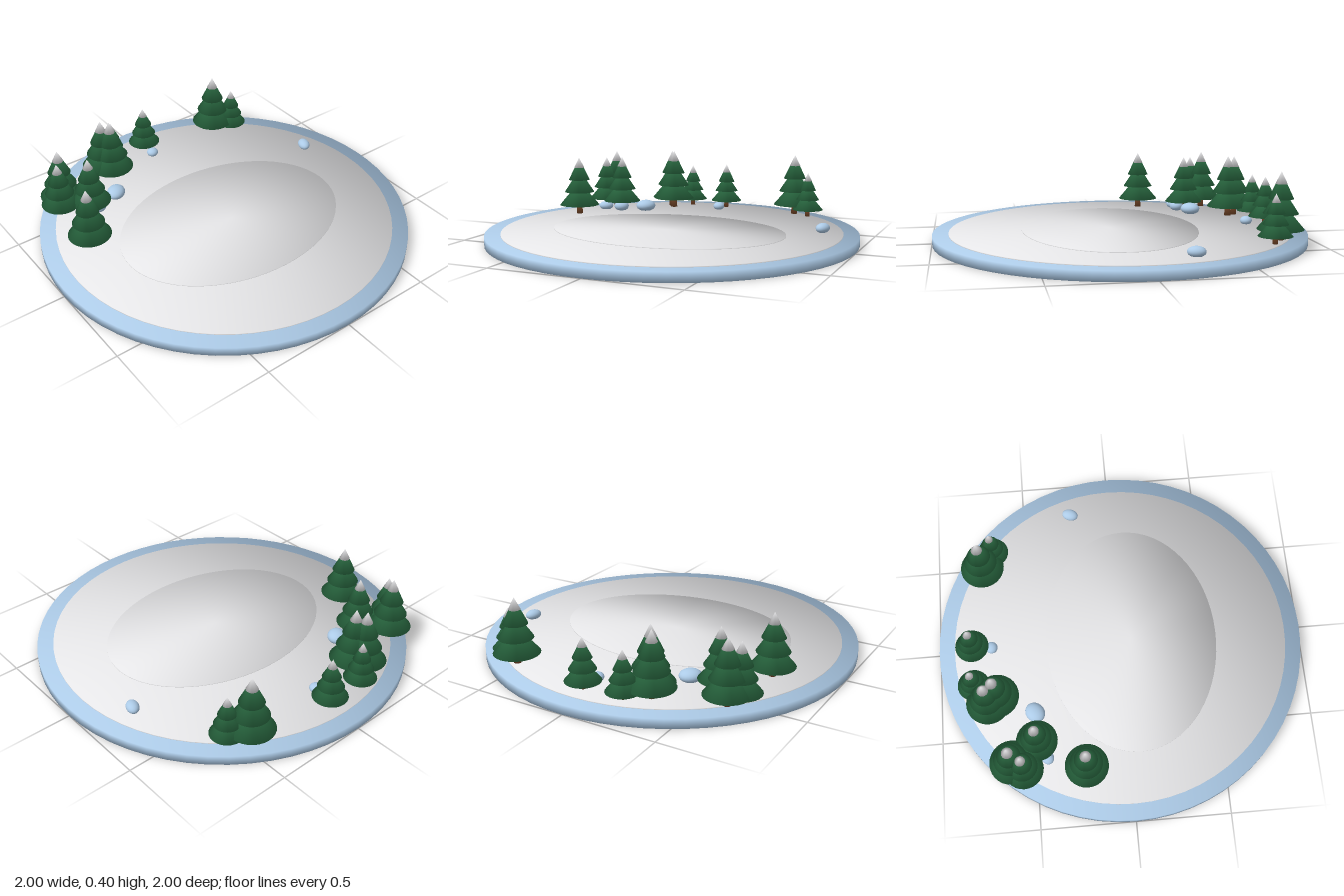
import * as THREE from 'three';

const mat = (name, color) => Object.assign(new THREE.MeshStandardMaterial({ color }), { name });

// Averages the normals of coincident corners, so hard rims shade softly
function soften(geo) {
  const p = geo.attributes.position, n = geo.attributes.normal, sums = new Map();
  const key = i => [p.getX(i), p.getY(i), p.getZ(i)].map(v => Math.round(v * 1e5)).join();
  const v = new THREE.Vector3();
  for (let i = 0; i < p.count; i++) {
    const k = key(i);
    if (!sums.has(k)) sums.set(k, new THREE.Vector3());
    sums.get(k).add(v.fromBufferAttribute(n, i));
  }
  for (let i = 0; i < p.count; i++) {
    v.copy(sums.get(key(i))).normalize();
    n.setXYZ(i, v.x, v.y, v.z);
  }
  return geo;
}

export function createModel() {
  const model = new THREE.Group();
  model.name = 'snowyGrove';
  const snow = mat('snow', 0xf6f6f8);
  const ice = mat('ice', 0xb8d8f6);
  const green = mat('pine green', 0x2f7549);
  const bark = mat('bark', 0x7a4a2a);

  const add = (parent, name, geo, material, x = 0, y = 0, z = 0) => {
    const mesh = new THREE.Mesh(geo, material);
    mesh.name = name;
    mesh.position.set(x, y, z);
    parent.add(mesh);
    return mesh;
  };
  const disc = (name, r, y0, y1, material, z = 0) =>
    add(model, name, soften(new THREE.CylinderGeometry(r, r, y1 - y0, 64)), material, 0, (y0 + y1) / 2, z);

  // Round base with two thin layers of snow
  disc('base', 1, 0, 0.05, ice);
  disc('snowField', 0.915, 0.045, 0.055, snow);
  disc('snowMound', 0.645, 0.05, 0.059, snow, 0.06).scale.z = 0.73;

  // Pine parts, sized for a tree one unit tall
  const trunkGeo = soften(new THREE.CylinderGeometry(0.042, 0.055, 0.24, 12));
  const cone = (r, h) => soften(new THREE.ConeGeometry(r, h, 28));
  const tiers = [
    { y: 0.165, r: 0.345, h: 0.41 },
    { y: 0.395, r: 0.258, h: 0.395 },
    { y: 0.61, r: 0.183, h: 0.385 },
  ].map(t => ({ ...t, needles: cone(t.r, t.h), cap: cone(t.r * 0.475, t.h * 0.46) }));

  function pine(x, z, height) {
    const tree = new THREE.Group();
    tree.name = 'pineTree';
    tree.position.set(x, 0.052, z);
    tree.scale.setScalar(height);
    add(tree, 'trunk', trunkGeo, bark, 0, 0.12);
    for (const t of tiers) {
      add(tree, 'branchTier', t.needles, green, 0, t.y + t.h / 2);
      // Snow on the tip of the tier, just proud of the needles
      add(tree, 'snowCap', t.cap, snow, 0, t.y + t.h * 0.775 + 0.005);
    }
    model.add(tree);
  }
  [
    [-0.705, -0.235, 0.335], [-0.655, -0.625, 0.34], [-0.695, -0.565, 0.305],
    [-0.55, -0.488, 0.32], [-0.322, -0.735, 0.345], [-0.29, -0.69, 0.35],
    [-0.213, -0.812, 0.25], [0.01, -0.815, 0.265], [0.468, -0.74, 0.35],
    [0.565, -0.68, 0.255],
  ].forEach(t => pine(...t));

  // Icy boulders: x, z, radii, turn
  const boulder = new THREE.SphereGeometry(1, 20, 14);
  [
    [-0.39, -0.49, 0.058, 0.034, 0.05, 0.7],
    [-0.53, -0.44, 0.044, 0.031, 0.04, 0.3],
    [-0.635, -0.44, 0.042, 0.026, 0.034, 0.5],
    [0, -0.71, 0.033, 0.024, 0.033, 0],
    [0.775, -0.225, 0.033, 0.027, 0.046, -0.35],
  ].forEach(([x, z, rx, ry, rz, turn]) => {
    const rock = add(model, 'boulder', boulder, ice, x, 0.05 + ry, z);
    rock.scale.set(rx, ry, rz);
    rock.rotation.y = turn;
  });

  return model;
}
